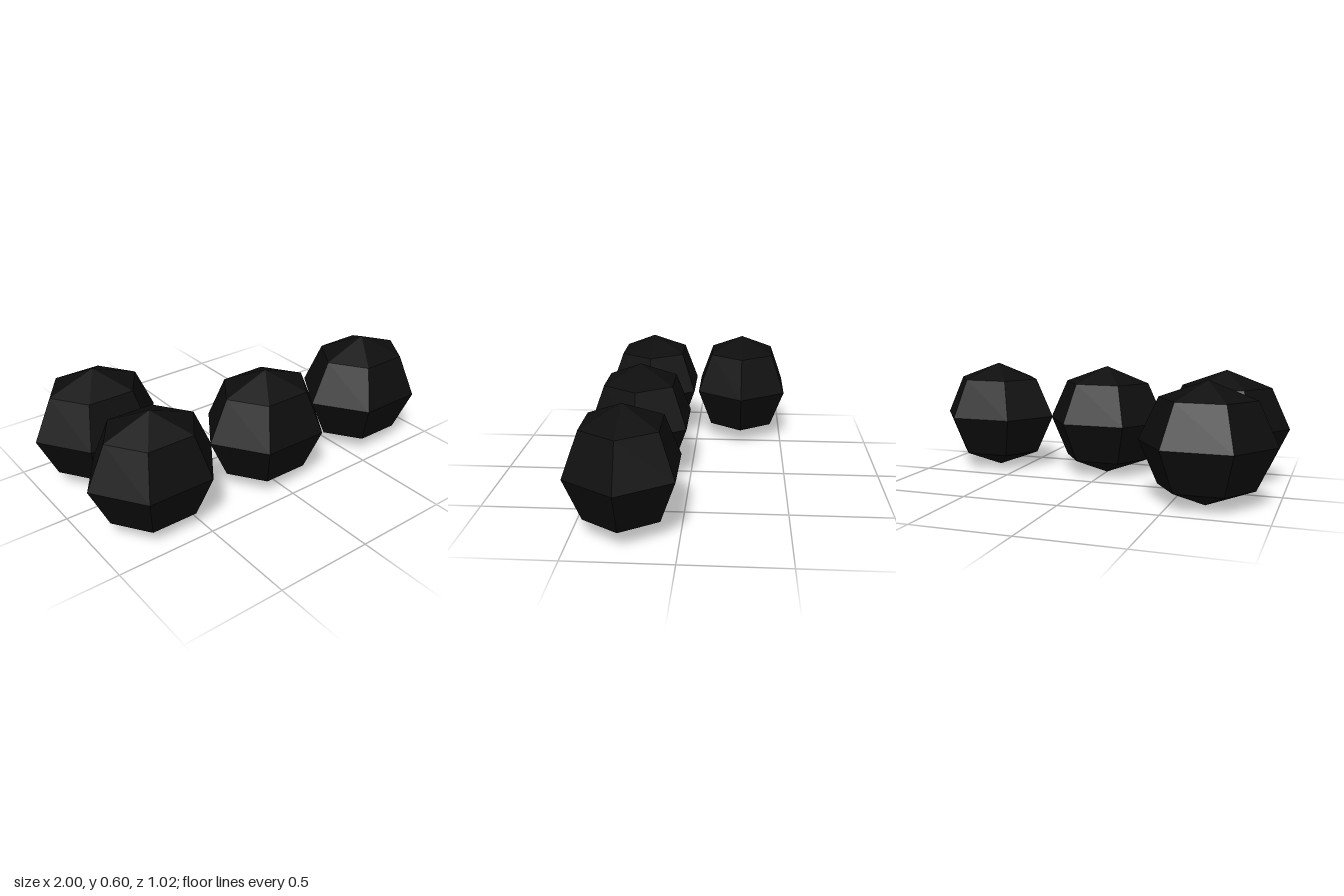
import * as THREE from 'three';

export function createModel() {
  const group = new THREE.Group();
  const black = new THREE.MeshStandardMaterial({ color: 0x0d0d0d, flatShading: true });
  black.name = 'black';

  // one six-sided, four-band bead, slightly wider than tall
  const bead = new THREE.SphereGeometry(1, 6, 4);
  bead.scale(0.335, 0.3, 0.2875);

  // row of three beads in front, one more behind the right end
  const places = {
    rightBead: [-0.665, 0.262],
    middleBead: [0, 0.262],
    leftBead: [0.665, 0.262],
    rearBead: [-0.665, -0.262],
  };
  for (const [name, [x, z]] of Object.entries(places)) {
    const mesh = new THREE.Mesh(bead, black);
    mesh.name = name;
    mesh.position.set(x, 0.3, z);
    group.add(mesh);
  }
  return group;
}
